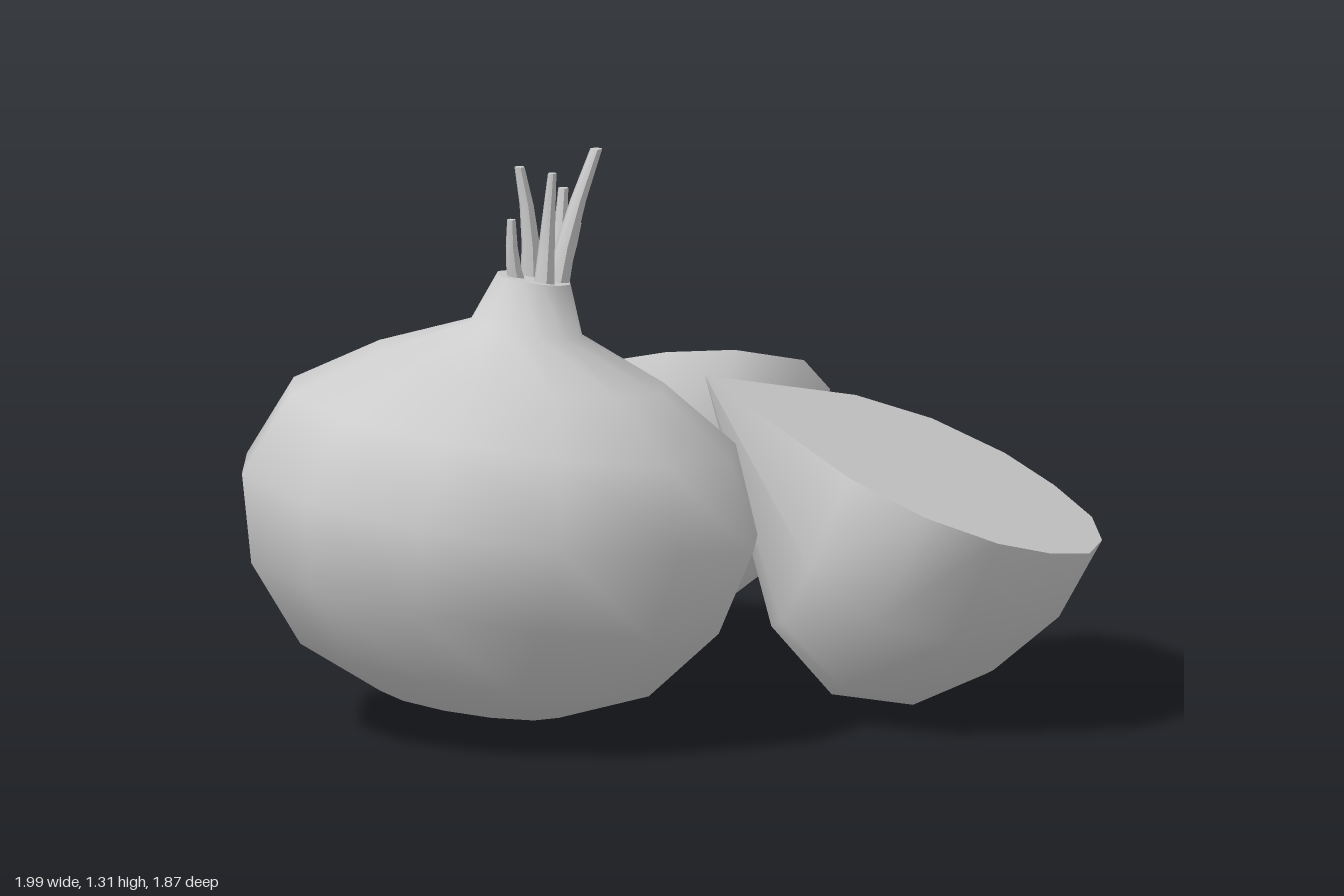
import * as THREE from 'three';

const skin = new THREE.MeshStandardMaterial({ color: 0xcccccc });
skin.name = 'pale grey';

const V = (x, y, z) => new THREE.Vector3(x, y, z);

function mesh(geometry, name) {
  const m = new THREE.Mesh(geometry, skin);
  m.name = name;
  return m;
}

// Thin tapering shoot whose rings follow a curve from base to tip
function shoot([base, bend, tip, r0, r1]) {
  const curve = new THREE.QuadraticBezierCurve3(V(...base), V(...bend), V(...tip));
  const g = new THREE.CylinderGeometry(r1, r0, 1, 6, 3);
  const p = g.attributes.position;
  for (let i = 0; i < p.count; i++) {
    const c = curve.getPoint(p.getY(i) + 0.5);
    p.setXYZ(i, c.x + p.getX(i), c.y, c.z + p.getZ(i));
  }
  g.computeVertexNormals();
  return mesh(g, 'shoot');
}

// Whole bulb: twelve-sided lathe, leaning slightly to the side
function wholeOnion() {
  const group = new THREE.Group();
  group.name = 'wholeOnion';
  const profile = [
    [0, -0.476], [0.21, -0.457], [0.41, -0.37], [0.55, -0.2], [0.602, 0],
    [0.52, 0.19], [0.335, 0.31], [0.13, 0.4], [0.085, 0.515],
  ].map(([r, y]) => new THREE.Vector2(r, y));
  const bulb = new THREE.Group();
  bulb.name = 'bulb';
  const neckTop = mesh(new THREE.CircleGeometry(0.085, 12), 'neckTop');
  neckTop.rotation.x = -Math.PI / 2;
  neckTop.position.y = 0.515;
  bulb.add(mesh(new THREE.LatheGeometry(profile, 12), 'bulbSkin'), neckTop);
  bulb.position.set(-0.4, 0.51, 0.325);
  bulb.rotation.z = -0.15;
  group.add(bulb);

  // Dry shoots: base, bend, tip, base radius, tip radius
  const shoots = [
    [[-0.27, 1.0, 0.33], [-0.25, 1.13, 0.33], [-0.18, 1.31, 0.33], 0.028, 0.014],
    [[-0.31, 1.0, 0.37], [-0.3, 1.12, 0.36], [-0.295, 1.27, 0.39], 0.025, 0.01],
    [[-0.32, 1.0, 0.29], [-0.32, 1.14, 0.3], [-0.35, 1.27, 0.3], 0.026, 0.012],
    [[-0.27, 1.0, 0.28], [-0.25, 1.06, 0.27], [-0.24, 1.21, 0.26], 0.022, 0.012],
    [[-0.26, 1.0, 0.29], [-0.23, 1.06, 0.28], [-0.21, 1.13, 0.27], 0.02, 0.01],
    [[-0.36, 1.0, 0.33], [-0.38, 1.06, 0.34], [-0.38, 1.16, 0.35], 0.022, 0.01],
  ];
  shoots.forEach((s) => group.add(shoot(s)));
  return group;
}

// Half bulb: half lathe closed by a flat cut face.
// tip = neck point, axis = direction from neck to root, normal = cut face normal,
// profile = [distance from the neck, radius], listed from root to neck
function halfOnion(name, tip, axis, normal, profile) {
  const group = new THREE.Group();
  group.name = name;
  const pts = profile.map(([t, r]) => new THREE.Vector2(r, -t));
  const outer = mesh(new THREE.LatheGeometry(pts, 6, -Math.PI / 2, Math.PI), 'halfSkin');
  const mirrored = pts.slice(1, -1).reverse().map((p) => new THREE.Vector2(-p.x, p.y));
  const cut = mesh(new THREE.ShapeGeometry(new THREE.Shape([...pts, ...mirrored])), 'cutFace');
  cut.rotation.y = Math.PI;
  group.add(outer, cut);

  const z = V(...normal).normalize().negate();
  const y = V(...axis).negate();
  y.addScaledVector(z, -y.dot(z)).normalize();
  const x = new THREE.Vector3().crossVectors(y, z);
  group.quaternion.setFromRotationMatrix(new THREE.Matrix4().makeBasis(x, y, z));
  group.position.set(...tip);
  return group;
}

export function createModel() {
  const model = new THREE.Group();
  model.name = 'onions';
  model.add(
    wholeOnion(),
    halfOnion('sideHalf', [0.1, 0.755, 0.2], [0.897, -0.387, 0.213], [0.374, 0.922, 0.101], [
      [0.968, 0], [0.94, 0.208], [0.846, 0.385], [0.723, 0.514],
      [0.545, 0.563], [0.36, 0.472], [0, 0],
    ]),
    halfOnion('backHalf', [0.53, 0.327, -0.77], [-0.824, 0.356, 0.443], [0.085, 0.847, -0.525], [
      [0.869, 0], [0.845, 0.19], [0.766, 0.35], [0.658, 0.46], [0.493, 0.516],
      [0.322, 0.428], [0.21, 0.26], [0.133, 0.115], [0, 0],
    ]),
  );
  return model;
}
